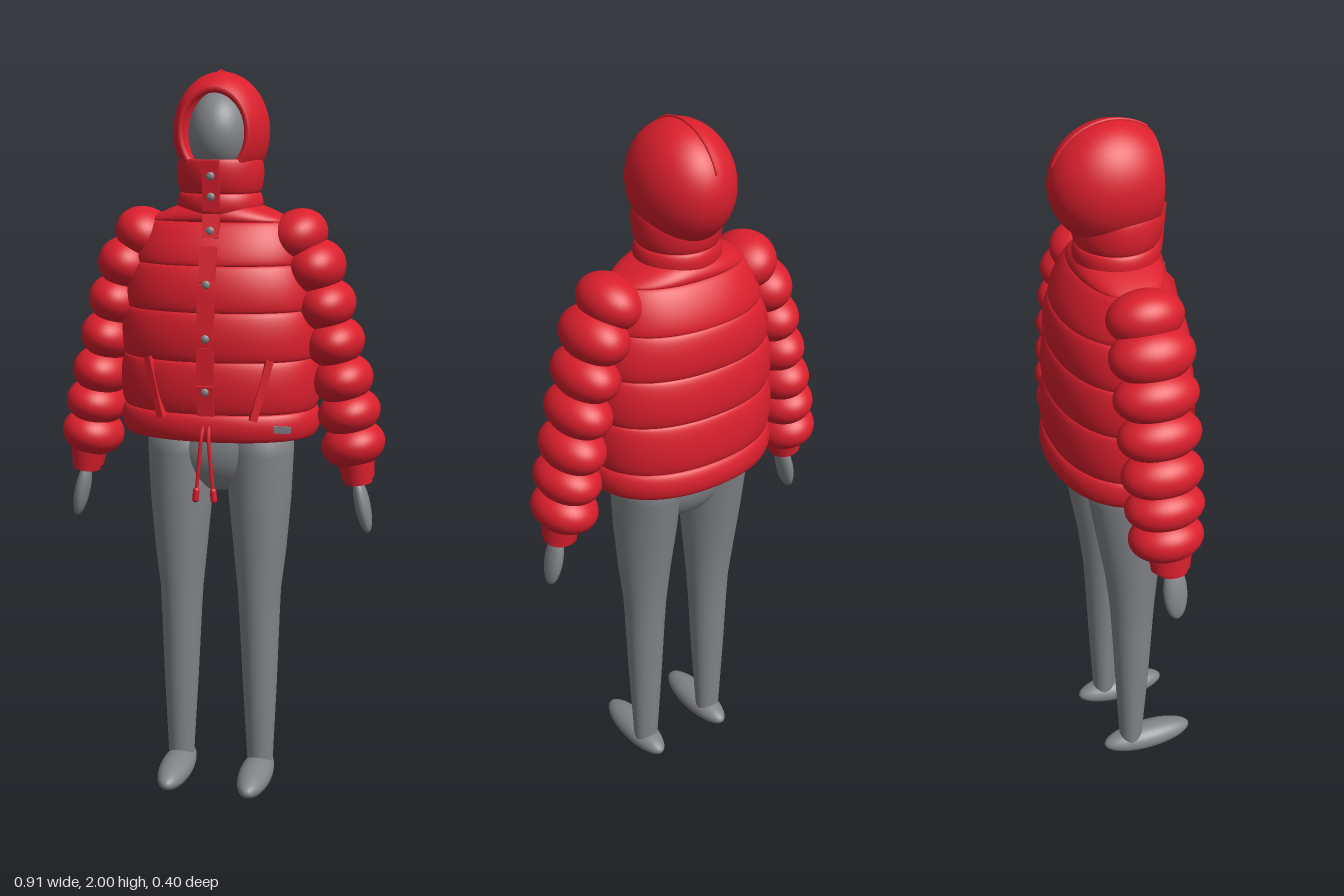
import * as THREE from 'three';

export function createModel() {
  const red = new THREE.MeshStandardMaterial({ color: 0xdb1f2d, side: THREE.DoubleSide });
  red.name = 'jacket red';
  const grey = new THREE.MeshStandardMaterial({ color: 0x828488 });
  grey.name = 'mannequin grey';
  const model = new THREE.Group();
  model.name = 'paddedJacketFigure';

  const add = (name, geo, mat, pos = [0, 0, 0], rot = [0, 0, 0], scale = [1, 1, 1]) => {
    const mesh = new THREE.Mesh(geo, mat);
    mesh.name = name;
    mesh.position.set(...pos);
    mesh.rotation.set(...rot);
    mesh.scale.set(...scale);
    model.add(mesh);
    return mesh;
  };
  const ball = new THREE.SphereGeometry(1, 40, 28);

  // Skin through oval rings, lowest first: [y, half width, front depth, back depth, centre x]
  const loft = (rings, power = 1, n = 64) => {
    const pos = [], index = [];
    rings.forEach(([y, rx, zf, zb, cx = 0], i) => {
      for (let j = 0; j < n; j++) {
        const a = (j / n) * Math.PI * 2, s = Math.sin(a), c = Math.cos(a);
        pos.push(cx + rx * Math.sign(s) * Math.abs(s) ** power, y,
          (c > 0 ? zf : zb) * Math.sign(c) * Math.abs(c) ** power);
        if (i) {
          const k = (j + 1) % n, lo = (i - 1) * n, hi = i * n;
          index.push(lo + j, lo + k, hi + k, lo + j, hi + k, hi + j);
        }
      }
    });
    const geo = new THREE.BufferGeometry();
    geo.setAttribute('position', new THREE.Float32BufferAttribute(pos, 3));
    geo.setIndex(index);
    geo.computeVertexNormals();
    return geo;
  };

  // One padded panel: bulges between two seam rings
  const puffRing = (a, b, t, bulge) => {
    const out = bulge * Math.sqrt(Math.max(0, Math.sin(Math.PI * t)));
    return a.map((v, k) => v + (b[k] - v) * t + (k ? out : 0));
  };
  const panels = (name, seams, bulge, power) => {
    for (let i = 0; i < seams.length - 1; i++) {
      const rings = [];
      for (let s = 0; s <= 14; s++) {
        const t = (1 - Math.cos((Math.PI * s) / 14)) / 2;
        rings.push(puffRing(seams[i], seams[i + 1], t, bulge));
      }
      add(name + (i + 1), loft(rings, power), red);
    }
  };

  // Jacket body and collar
  const torso = [
    [1.035, 0.26, 0.168, 0.185], [1.11, 0.262, 0.172, 0.182], [1.25, 0.262, 0.174, 0.176],
    [1.38, 0.255, 0.17, 0.168], [1.5, 0.23, 0.15, 0.16], [1.61, 0.19, 0.1, 0.11],
    [1.655, 0.09, 0.085, 0.09],
  ];
  panels('bodyPanel', torso, 0.014, 0.92);
  add('hemLining', loft([[1.06, 0.02, 0.02, 0.02], [1.06, 0.23, 0.14, 0.15], [1.036, 0.26, 0.168, 0.185]], 0.92), red);
  panels('collarPanel', [[1.625, 0.105, 0.102, 0.1], [1.683, 0.104, 0.104, 0.102], [1.772, 0.108, 0.114, 0.104]], 0.01, 1);
  add('collarTop', loft([[1.772, 0.108, 0.114, 0.104], [1.765, 0.07, 0.07, 0.07]]), red);

  // Hood: egg cut off flat in front, with rolled rim and centre ridge
  const hoodSize = [0.127, 0.155, 0.16], hoodAt = [0, 1.84, -0.013], cut = 0.87;
  const hoodGeo = new THREE.SphereGeometry(1, 56, 36, 0, Math.PI * 2, cut, Math.PI - cut);
  hoodGeo.rotateX(Math.PI / 2);
  add('hood', hoodGeo, red, hoodAt, [0, 0, 0], hoodSize);
  add('hoodRim', new THREE.TorusGeometry(1, 0.1, 12, 56), red, [0, 1.84, 0.085], [0, 0, 0], [0.09, 0.111, 0.08]);
  const ridge = [];
  for (let i = 0; i <= 16; i++) {
    const a = 0.95 + (i / 16) * 1.8;
    ridge.push(new THREE.Vector3(0, 1.84 + 0.156 * Math.sin(a), -0.013 + 0.161 * Math.cos(a)));
  }
  add('hoodRidge', new THREE.TubeGeometry(new THREE.CatmullRomCurve3(ridge), 40, 0.004, 8), red);
  add('head', ball, grey, [0, 1.835, 0], [0, 0, 0], [0.084, 0.113, 0.107]);

  // Front depth of the jacket body at a given height
  const frontZ = (y) => {
    const i = Math.max(0, Math.min(torso.length - 2, torso.findIndex((r) => r[0] > y) - 1));
    return puffRing(torso[i], torso[i + 1], (y - torso[i][0]) / (torso[i + 1][0] - torso[i][0]), 0.014)[2];
  };

  // Placket strips and snaps down the front
  [[1.11, 1.19], [1.2, 1.29], [1.33, 1.42], [1.46, 1.55], [1.57, 1.63]].forEach(([y0, y1], i) => {
    const z0 = frontZ(y0 + 0.01), z1 = frontZ(y1 - 0.01), h = y1 - y0;
    add('placketStrip' + (i + 1), new THREE.BoxGeometry(0.045, Math.hypot(h, z1 - z0), 0.016), red,
      [0, (y0 + y1) / 2, (z0 + z1) / 2], [Math.atan2(z1 - z0, h), 0, 0]);
  });
  add('collarPlacket', new THREE.BoxGeometry(0.045, 0.13, 0.01), red, [0, 1.705, 0.117], [0.08, 0, 0]);
  [[1.73, 0.124], [1.677, 0.119], [1.59, frontZ(1.59) + 0.008], [1.455, frontZ(1.455) + 0.005],
    [1.315, frontZ(1.315) + 0.003], [1.175, frontZ(1.175) + 0.005]].forEach(([y, z], i) =>
    add('snap' + (i + 1), ball, grey, [0, y, z], [0, 0, 0], [0.011, 0.011, 0.007]));

  // Small plain hem tag
  add('hemTag', new THREE.BoxGeometry(0.045, 0.018, 0.008), grey, [0.2, 1.075, 0.155]);

  // Paired parts
  const puffs = [
    [0.21, 1.57, 0.082, 0.07, 0.1], [0.258, 1.49, 0.082, 0.074, 0.112], [0.288, 1.39, 0.081, 0.07, 0.112],
    [0.314, 1.29, 0.08, 0.068, 0.111], [0.337, 1.19, 0.082, 0.068, 0.109],
    [0.356, 1.1, 0.085, 0.064, 0.106], [0.369, 1.012, 0.087, 0.065, 0.1],
  ];
  const tilt = 0.22;
  for (const s of [1, -1]) {
    const side = s > 0 ? 'left' : 'right';
    const put = (name, geo, mat, [x, y, z], scale, rz = 0, rx = 0, ry = 0) =>
      add(side + name, geo, mat, [s * x, y, z], [rx, s * ry, s * rz], scale);

    // Sleeve, cuff and hand
    puffs.forEach(([x, y, rx, ry, rz], i) =>
      put('SleevePuff' + (i + 1), ball, red, [x, y, -0.004], [rx, ry, rz], i ? tilt : 0.5));
    put('Cuff', new THREE.CylinderGeometry(1, 0.88, 1, 40), red, [0.382, 0.945, 0.004], [0.05, 0.05, 0.06], 0.12);
    put('CuffEdge', new THREE.CylinderGeometry(0.8, 0.75, 1, 40), red, [0.386, 0.916, 0.008], [0.05, 0.02, 0.055], 0.12);
    put('Hand', ball, grey, [0.4, 0.845, 0.013], [0.021, 0.08, 0.033], tilt);

    // Pocket welt
    put('PocketWelt', new THREE.BoxGeometry(0.02, 0.165, 0.02), red, [0.143, 1.178, 0.158], [1, 1, 1], -0.27, 0, 0.42);

    // Drawcord and toggle
    const cord = new THREE.CatmullRomCurve3([[0.008, 1.08, 0.18], [0.01, 1.05, 0.194], [0.016, 0.98, 0.196], [0.023, 0.9, 0.196]]
      .map(([x, y, z]) => new THREE.Vector3(s * x, y, z)));
    add(side + 'Drawcord', new THREE.TubeGeometry(cord, 20, 0.005, 8), red);
    put('CordToggle', new THREE.CapsuleGeometry(0.009, 0.024, 6, 14), red, [0.024, 0.897, 0.196], [1, 1, 1], 0.1);

    // Leg and foot
    const leg = [
      [0.05, 0.036, 0.036, 0.03, 0.117], [0.08, 0.038, 0.038, 0.031, 0.117], [0.3, 0.049, 0.055, 0.043, 0.115],
      [0.5, 0.057, 0.067, 0.053, 0.113], [0.58, 0.061, 0.072, 0.058, 0.112], [0.7, 0.074, 0.08, 0.072, 0.113],
      [0.85, 0.087, 0.092, 0.098, 0.112], [0.98, 0.092, 0.098, 0.12, 0.112], [1.03, 0.092, 0.1, 0.125, 0.112],
      [1.06, 0.06, 0.07, 0.09, 0.112], [1.07, 0.001, 0.001, 0.001, 0.112],
    ].map(([y, rx, zf, zb, cx]) => [y, rx, zf, zb, s * cx]);
    add(side + 'Leg', loft(leg, 1, 40), grey);
    put('Foot', ball, grey, [0.116, 0.041, 0.058], [0.047, 0.039, 0.139]);
  }

  // Hips joining the legs
  add('hips', ball, grey, [0, 1.0, -0.008], [0, 0, 0], [0.165, 0.138, 0.105]);

  return model;
}
